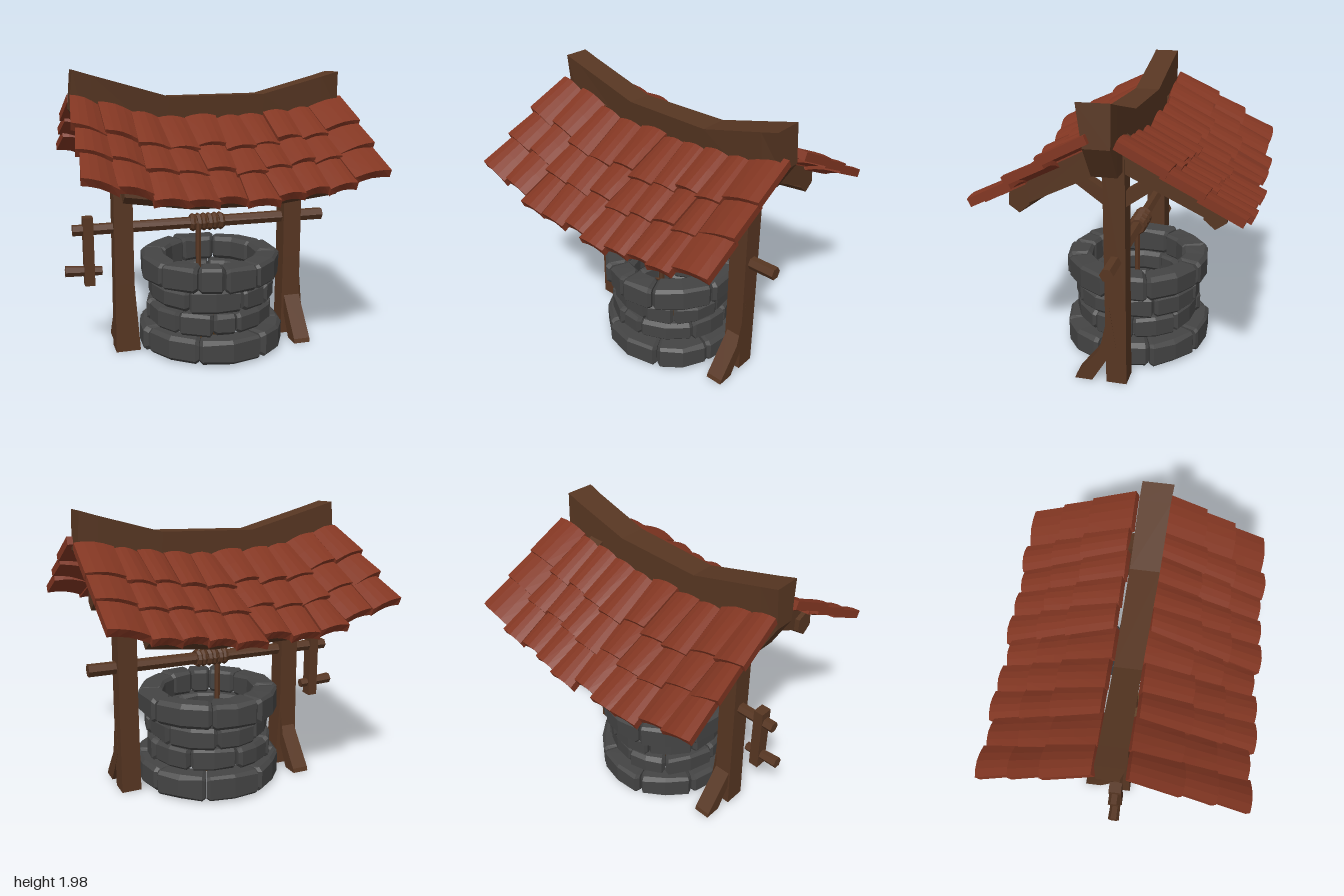
import * as THREE from 'three';
import { mergeGeometries } from 'three/addons/utils/BufferGeometryUtils.js';

const mat = (name, color) => Object.assign(new THREE.MeshStandardMaterial({ color }), { name });

let seed = 7;
const rand = (amp) => {
  seed = (seed * 16807) % 2147483647;
  return (seed / 2147483647 * 2 - 1) * amp;
};

// Faceted copy of a geometry: every face gets its own normal
function facet(geo) {
  const g = geo.index ? geo.toNonIndexed() : geo;
  g.deleteAttribute('uv');
  g.computeVertexNormals();
  return g;
}

// Closed solid through a list of rings of [x, y, z]; winding is fixed by its volume
function loft(rings) {
  const n = rings[0].length, tris = [];
  const quad = (a, b, c, d) => tris.push([a, b, c], [a, c, d]);
  for (let i = 0; i < rings.length - 1; i++)
    for (let j = 0; j < n; j++) {
      const k = (j + 1) % n;
      quad(rings[i][j], rings[i][k], rings[i + 1][k], rings[i + 1][j]);
    }
  const first = rings[0], last = rings[rings.length - 1];
  for (let i = 0; i < n / 2 - 1; i++) {
    quad(first[n - 1 - i], first[n - 2 - i], first[i + 1], first[i]);
    quad(last[i], last[i + 1], last[n - 2 - i], last[n - 1 - i]);
  }
  let volume = 0;
  for (const [a, b, c] of tris)
    volume += a[0] * (b[1] * c[2] - b[2] * c[1]) + a[1] * (b[2] * c[0] - b[0] * c[2]) + a[2] * (b[0] * c[1] - b[1] * c[0]);
  if (volume < 0) tris.forEach((t) => t.reverse());
  const g = new THREE.BufferGeometry();
  g.setAttribute('position', new THREE.Float32BufferAttribute(tris.flat(2), 3));
  g.computeVertexNormals();
  return g;
}

// Side outline of [z, y] points stretched from x0 to x1
const slab = (pts, x0, x1) => loft([x0, x1].map((x) => pts.map(([z, y]) => [x, y, z])));

export function createModel() {
  const wood = mat('wood', 0x573622);
  const tileRed = mat('roof tile', 0x823622);
  const stone = mat('stone', 0x444444);
  const bucketWood = mat('bucket wood', 0x5e4023);

  const group = new THREE.Group();
  const add = (name, geo, material) => {
    const m = new THREE.Mesh(geo, material);
    m.name = name;
    group.add(m);
    return m;
  };

  // Stone rings: [bottom, top, inner radius, outer radius, seam angles in degrees from the front]
  const courses = [
    [0.01, 0.19, 0.35, 0.52, [-75, -25, 28, 70, 112, 155, 200, 245]],
    [0.195, 0.35, 0.31, 0.45, [-45, -13, 9, 60, 98, 140, 185, 222, 270]],
    [0.355, 0.51, 0.31, 0.45, [-36, 15, 42, 85, 118, 165, 205, 250]],
    [0.515, 0.69, 0.335, 0.505, [-58, -26, -4, 24, 75, 110, 160, 200, 245]],
  ];
  const stones = [];
  for (const [b, t, inner, outer, seams] of courses)
    seams.forEach((s, i) => {
      const end = i + 1 < seams.length ? seams[i + 1] : seams[0] + 360;
      const a0 = THREE.MathUtils.degToRad(s) + 0.006, a1 = THREE.MathUtils.degToRad(end) - 0.006;
      const ro = outer + rand(0.014), ri = inner + rand(0.012), y0 = b + rand(0.005), y1 = t + rand(0.006);
      const steps = Math.max(1, Math.round((a1 - a0) / 0.4));
      const angles = [a0];
      for (let k = 0; k <= steps; k++) angles.push(a0 + 0.05 + (a1 - a0 - 0.1) * k / steps);
      angles.push(a1);
      stones.push(loft(angles.map((a, k) => {
        const e = k === 0 || k === angles.length - 1 ? 0.02 : 0;
        const R = ro - e + rand(0.008), r = ri + e, lo = y0 + e * 0.7, hi = y1 - e * 0.7 + rand(0.004), c = 0.023 + rand(0.007);
        return [[R, lo + c], [R, hi - c], [R - c, hi], [r + c, hi], [r, hi - c], [r, lo + c], [r + c, lo], [R - c, lo]]
          .map(([q, y]) => [0.04 + q * Math.sin(a), Math.max(0, y), 0.01 + q * Math.cos(a)]);
      })));
    });
  add('stoneWall', mergeGeometries(stones), stone);

  // Posts: [y, x0, x1, half depth]
  const post = (rows) => loft(rows.map(([y, x0, x1, d]) => [[x0, y, -d], [x1, y, -d], [x1, y, d], [x0, y, d]]));
  add('postRight', post([[0, -0.67, -0.495, 0.075], [0.5, -0.665, -0.53, 0.07], [1.58, -0.66, -0.53, 0.07]]), wood);
  add('postLeft', post([[0, 0.59, 0.73, 0.07], [0.6, 0.595, 0.73, 0.07], [1.58, 0.59, 0.725, 0.07]]), wood);

  // Foot braces, one forward and one backward
  const foot = (s) => [[0.29 * s, 0], [0.17 * s, 0], [0, 0.28], [0.04 * s, 0.57], [0.07 * s, 0.3], [0.28 * s, 0.03]];
  add('footBraceLeft', slab(foot(1), 0.61, 0.732), wood);
  add('footBraceRight', slab(foot(-1), -0.655, -0.535), wood);

  // Rafters, struts and eave beams on both slopes
  for (const s of [1, -1]) {
    const side = s > 0 ? 'Front' : 'Back';
    for (const [x, end] of [[-0.595, 'Right'], [0.66, 'Left']]) {
      add('rafter' + side + end, slab([[0, 1.74], [0, 1.52], [0.58 * s, 1.24], [0.64 * s, 1.36]], x - 0.06, x + 0.06), wood);
      add('strut' + side + end, slab([[0.05 * s, 1.36], [0.05 * s, 1.255], [0.32 * s, 1.45], [0.27 * s, 1.5]], x - 0.04, x + 0.04), wood);
    }
    const beam = [[-0.69, 1.29], [-0.25, 1.225], [0.28, 1.22], [0.72, 1.27]];
    add('eaveBeam' + side, loft(beam.map(([x, y]) =>
      [[0.62, -0.09], [0.69, -0.04], [0.68, 0.05], [0.62, 0.09], [0.55, 0.06], [0.55, -0.03]].map(([z, dy]) => [x, y + dy, s * z]))), wood);
  }

  // Sagging ridge beam with undercut ends: [x, top, bottom, back z, front z]
  const ridge = [[-0.92, 1.98, 1.72, -0.085, 0.09], [-0.8, 1.945, 1.5, -0.08, 0.09], [-0.28, 1.8, 1.5, -0.07, 0.1],
    [0.4, 1.81, 1.5, -0.06, 0.13], [0.83, 1.925, 1.5, -0.055, 0.145], [0.95, 1.96, 1.7, -0.05, 0.155]];
  add('ridgeBeam', loft(ridge.map(([x, t, b, z0, z1]) => {
    const lean = x < 0 ? 0.012 : -0.01;
    return [[x - lean, b, z0], [x + lean, t, z0], [x + lean, t, z1], [x - lean, b, z1 - 0.04]];
  })), wood);

  // Roof tiles: arched, overlapping, following the sag of the ridge
  const edges = [-0.925, -0.745, -0.53, -0.36, -0.16, 0.05, 0.215, 0.4, 0.58, 0.74, 0.99];
  const flare = [-0.03, 0, -0.015, 0.015, 0.01, -0.02, 0.015, 0, -0.01, 0.01, 0.008];
  const eaves = [0, -0.02, 0.02, 0.01, -0.02, 0.02, 0, -0.02, 0, -0.03];
  const rows = [[0.11, 0.42], [0.37, 0.63], [0.58, 0.855]];
  const roofY = (x, z) => 1.685 + (x < 0 ? 0.165 : 0.105) * (x / 0.92) ** 2 - 0.615 * (z - 0.1);
  for (const s of [1, -1]) {
    const tiles = [];
    for (const [z0, z1] of rows)
      for (let c = 0; c < 10; c++) {
        const tilt = rand(0.01), lift = rand(0.006);
        tiles.push(loft([0, 0.5, 1].map((t) => {
          const z = z0 + (z1 - z0) * t + eaves[c] * (0.5 + t / 2);
          const x0 = edges[c] + flare[c] * t - 0.004, x1 = edges[c + 1] + flare[c + 1] * t + 0.004;
          const top = [], under = [];
          for (let k = 0; k <= 4; k++) {
            const u = k / 4, arch = Math.sin(Math.PI * u);
            const x = x0 + (x1 - x0) * u;
            const y = roofY(x, z) + 0.02 * arch - 0.012 + 0.03 * (t - 0.5) + tilt * (u - 0.5) * 2 + lift;
            top.push([x, y, s * (z + 0.012 * arch * t)]);
            under.unshift([x, y - 0.05, s * (z - 0.022)]);
          }
          return [...top, ...under];
        })));
      }
    add(s > 0 ? 'roofTilesFront' : 'roofTilesBack', mergeGeometries(tiles), tileRed);
  }

  // Windlass axle and crank
  const axle = add('axle', facet(new THREE.CylinderGeometry(0.04, 0.046, 1.86, 6)), wood);
  axle.rotation.z = Math.PI / 2 + 0.003;
  axle.position.set(-0.01, 0.9, 0);
  add('crankArm', facet(new THREE.BoxGeometry(0.07, 0.485, 0.085)), wood).position.set(-0.835, 0.745, 0);
  const handle = add('crankHandle', facet(new THREE.CylinderGeometry(0.04, 0.032, 0.255, 6)), wood);
  handle.rotation.z = Math.PI / 2 - 0.06;
  handle.position.set(-0.872, 0.603, 0);

  // Rope coil and hanging rope
  for (let i = 0; i < 6; i++) {
    const loop = add('ropeCoil', facet(new THREE.TorusGeometry(0.044, 0.023, 6, 10)), wood);
    loop.rotation.y = Math.PI / 2 + (i % 2 ? 0.12 : -0.08);
    loop.position.set(-0.085 + i * 0.041, 0.9, 0);
  }
  add('rope', facet(new THREE.CylinderGeometry(0.02, 0.02, 0.53, 6)), wood).position.set(-0.053, 0.635, 0.04);

  // Bucket with its bail
  const profile = [[0, 0.015], [0.125, 0.015], [0.16, 0.24], [0.14, 0.24], [0.11, 0.045], [0, 0.045]].map(([r, y]) => new THREE.Vector2(r, y));
  add('bucket', facet(new THREE.LatheGeometry(profile, 14)), bucketWood).position.set(-0.05, 0, 0.03);
  add('bucketBail', facet(new THREE.TorusGeometry(0.15, 0.012, 5, 10, Math.PI)), wood).position.set(-0.05, 0.23, 0.03);

  return group;
}
